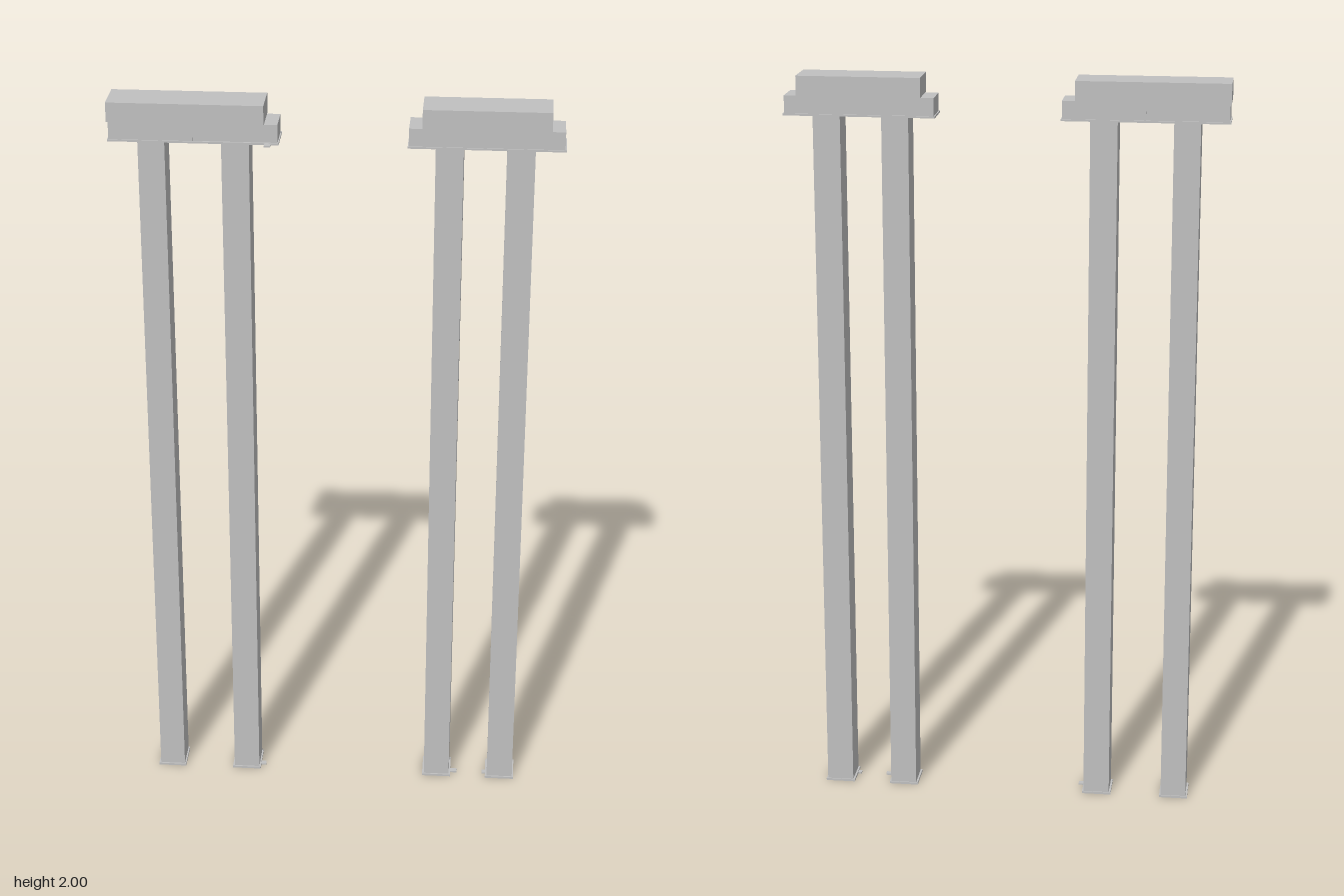
import * as THREE from 'three';

export function createModel() {
  const group = new THREE.Group();
  const stone = new THREE.MeshStandardMaterial({ color: 0xc0c0c0 });
  stone.name = 'grey stone';

  // Box given by its limits on each axis
  const block = (name, x0, x1, y0, y1, z0, z1) => {
    const mesh = new THREE.Mesh(new THREE.BoxGeometry(x1 - x0, y1 - y0, z1 - z0), stone);
    mesh.position.set((x0 + x1) / 2, (y0 + y1) / 2, (z0 + z1) / 2);
    mesh.name = name;
    group.add(mesh);
  };

  // Posts standing on thin foot plates
  const posts = [[-0.508, -0.439], [-0.294, -0.223], [0.251, 0.322], [0.431, 0.503]];
  for (const [x0, x1] of posts) {
    block('post', x0, x1, 0.006, 1.897, -0.046, 0.037);
    block('footPlate', x0 - 0.005, x1 + 0.004, 0, 0.006, -0.049, 0.041);
  }

  // Chips of stone beside the feet
  for (const [x0, x1] of [[-0.219, -0.205], [0.326, 0.345], [0.416, 0.426]])
    block('footChip', x0, x1, 0, 0.004, 0.005, 0.02);

  // Lintels on thin ledges, the first one in two lengths
  block('lintel', -0.582, -0.367, 1.9, 1.947, -0.05, 0.037);
  block('lintel', -0.367, -0.15, 1.9, 1.947, -0.052, 0.035);
  block('lintel', 0.183, 0.577, 1.9, 1.947, -0.051, 0.037);
  block('ledge', -0.585, -0.147, 1.895, 1.9, -0.055, 0.04);
  block('ledge', 0.18, 0.581, 1.895, 1.9, -0.055, 0.04);
  block('ledgeChip', -0.183, -0.167, 1.895, 1.899, 0.04, 0.056);

  // Cap blocks
  block('cap', -0.585, -0.184, 1.948, 2, -0.06, 0.046);
  block('cap', 0.217, 0.543, 1.948, 2, -0.06, 0.046);

  return group;
}
